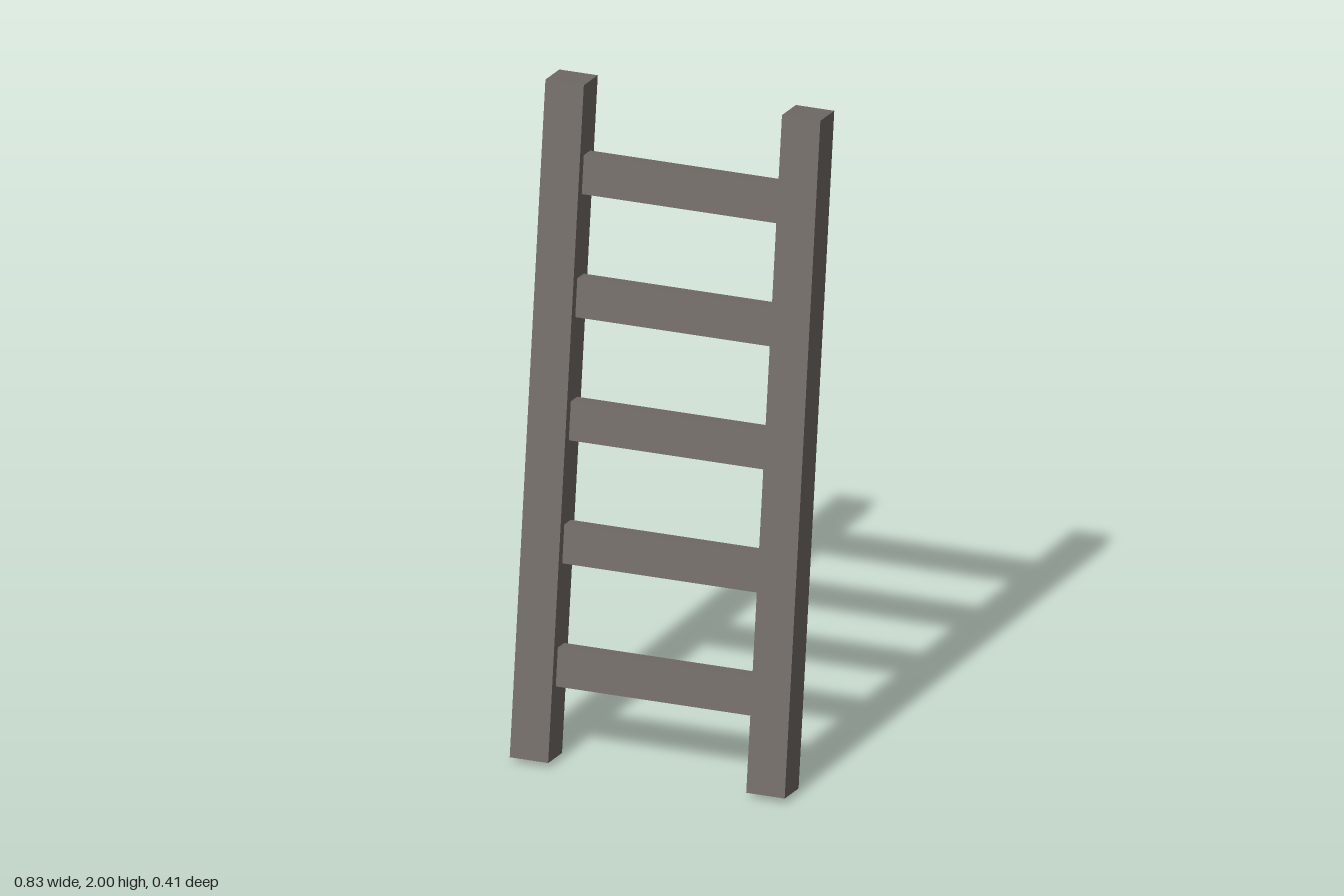
import * as THREE from 'three';

export function createModel() {
  const wood = new THREE.MeshStandardMaterial({ color: 0x746d68 });
  wood.name = 'weathered wood';

  const model = new THREE.Group();
  model.name = 'ladder';

  // Frame built upright around its centre, then leaned back
  const frame = new THREE.Group();
  frame.name = 'leaningFrame';
  frame.position.y = 1;
  frame.rotation.x = -0.1475;
  model.add(frame);

  const addBeam = (name, w, h, d, x, y) => {
    const mesh = new THREE.Mesh(new THREE.BoxGeometry(w, h, d), wood);
    mesh.name = name;
    mesh.position.set(x, y, 0);
    frame.add(mesh);
  };

  // Side rails
  addBeam('leftRail', 0.116, 2.004, 0.116, 0.357, 0);
  addBeam('rightRail', 0.116, 2.004, 0.116, -0.357, 0);

  // Evenly spaced rungs between the rails
  for (let i = -2; i <= 2; i++) {
    addBeam(`rung${i + 3}`, 0.6, 0.115, 0.0535, 0, i * 0.364 + 0.002);
  }

  return model;
}
